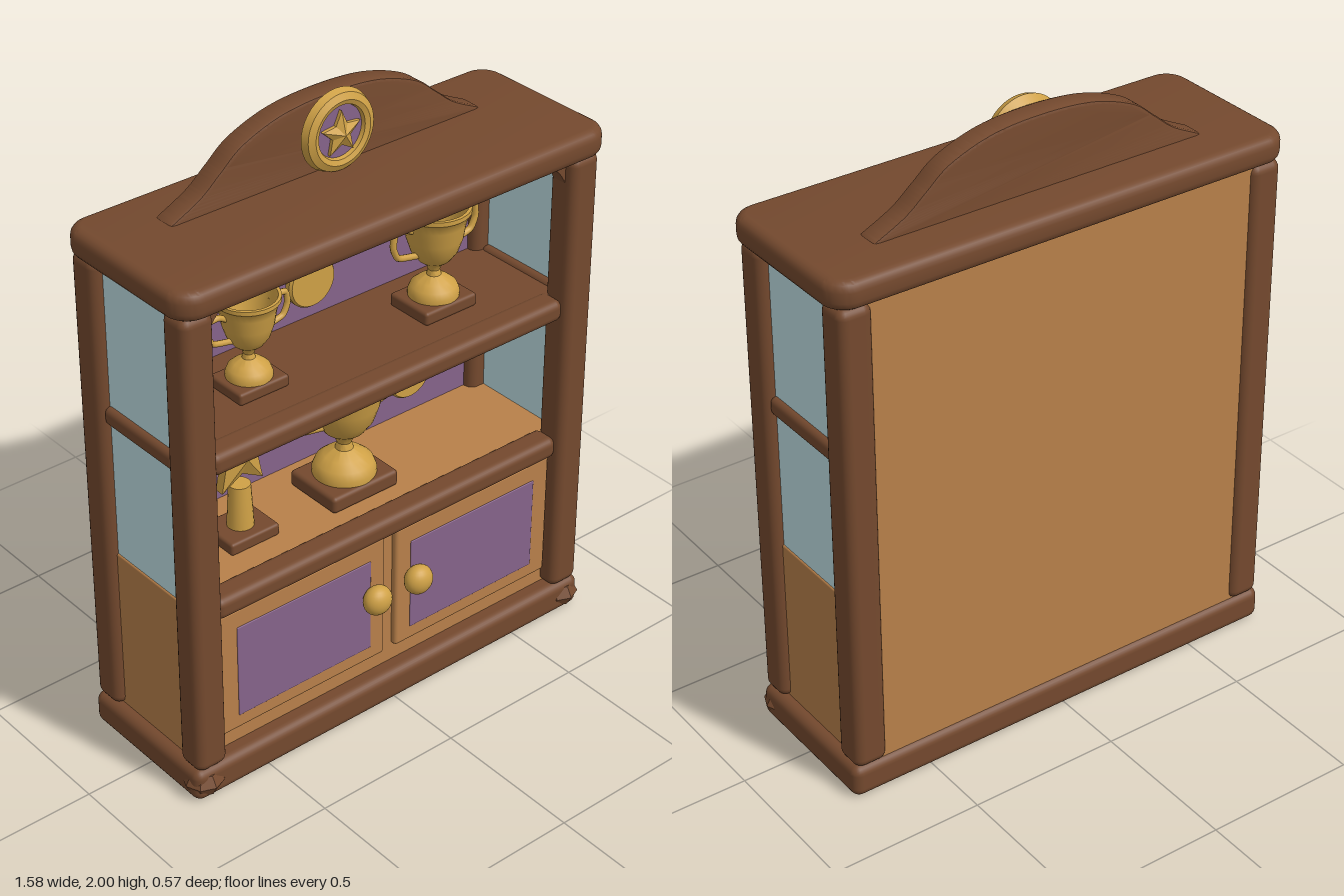
import * as THREE from 'three';
import { RoundedBoxGeometry } from 'three/addons/geometries/RoundedBoxGeometry.js';
import { toCreasedNormals } from 'three/addons/utils/BufferGeometryUtils.js';

const material = (color, side = THREE.FrontSide) => new THREE.MeshStandardMaterial({ color, side });
const darkWood = material(0x74492e);
const lightWood = material(0xb8804a);
const purple = material(0x86638a);
const glass = material(0xbfe0e4);
const gold = material(0xcfa146, THREE.DoubleSide);

function add(parent, name, geometry, mat, x = 0, y = 0, z = 0) {
  const mesh = new THREE.Mesh(geometry, mat);
  mesh.name = name;
  mesh.position.set(x, y, z);
  parent.add(mesh);
  return mesh;
}

// Rounded box given by its extents on each axis
function block(parent, name, mat, [x0, x1], [y0, y1], [z0, z1], radius = 0.01) {
  const geometry = new RoundedBoxGeometry(x1 - x0, y1 - y0, z1 - z0, 3, radius);
  return add(parent, name, geometry, mat, (x0 + x1) / 2, (y0 + y1) / 2, (z0 + z1) / 2);
}

const lathe = (points, segments = 32) => toCreasedNormals(
  new THREE.LatheGeometry(points.map(([r, y]) => new THREE.Vector2(r, y)), segments), 0.6);

// Faceted five-pointed star, ridged on both faces
function starGeometry(radius, depth) {
  const rim = (i) => {
    const r = i % 2 ? radius * 0.48 : radius;
    const a = Math.PI / 2 + i * Math.PI / 5;
    return [r * Math.cos(a), r * Math.sin(a)];
  };
  const edge = depth * 0.35;
  const pos = [];
  for (let i = 0; i < 10; i++) {
    const [ax, ay] = rim(i), [bx, by] = rim(i + 1);
    pos.push(0, 0, depth, ax, ay, edge, bx, by, edge);
    pos.push(0, 0, -depth, bx, by, -edge, ax, ay, -edge);
    pos.push(ax, ay, edge, ax, ay, -edge, bx, by, -edge);
    pos.push(ax, ay, edge, bx, by, -edge, bx, by, edge);
  }
  const geometry = new THREE.BufferGeometry();
  geometry.setAttribute('position', new THREE.Float32BufferAttribute(pos, 3));
  geometry.computeVertexNormals();
  return geometry;
}

// Two-handled cup on a square plinth
function makeTrophy(x, y, z, scale) {
  const group = new THREE.Group();
  group.name = 'trophyCup';
  block(group, 'trophyPlinth', darkWood, [-0.09, 0.09], [0, 0.04], [-0.075, 0.075], 0.01);
  add(group, 'cup', lathe([
    [0, 0.038], [0.07, 0.038], [0.07, 0.052], [0.063, 0.07], [0.045, 0.085], [0.02, 0.1], [0.016, 0.115],
    [0.022, 0.13], [0.045, 0.148], [0.064, 0.175], [0.077, 0.215], [0.084, 0.26], [0.091, 0.285],
    [0.098, 0.292], [0.098, 0.305], [0.088, 0.305], [0.074, 0.25], [0.058, 0.19], [0, 0.15],
  ]), gold);
  for (const s of [-1, 1]) {
    const path = new THREE.CatmullRomCurve3([
      [0.08, 0.255], [0.105, 0.268], [0.138, 0.264], [0.143, 0.225], [0.125, 0.19], [0.06, 0.175],
    ].map(([px, py]) => new THREE.Vector3(s * px, py, 0)), false, 'catmullrom', 0.3);
    add(group, 'trophyHandle', new THREE.TubeGeometry(path, 24, 0.0095, 8), gold);
  }
  group.position.set(x, y, z);
  group.scale.setScalar(scale);
  return group;
}

// Medal hanging on two crossed ribbons that meet at the given apex offset
function makeMedal(x, y, z, apexX, apexY) {
  const group = new THREE.Group();
  group.name = 'medal';
  for (const s of [-1, 1]) {
    const bx = s * 0.055 + 0.01, by = 0.05;
    const tx = apexX - s * 0.005, ty = apexY - 0.015;
    const ribbon = add(group, 'ribbon', new RoundedBoxGeometry(0.05, Math.hypot(tx - bx, ty - by), 0.016, 2, 0.005),
      purple, (bx + tx) / 2, (by + ty) / 2, s * 0.008 - 0.012);
    ribbon.rotation.z = -Math.atan2(tx - bx, ty - by);
  }
  const disc = add(group, 'medalDisc', lathe([[0, -0.016], [0.08, -0.016], [0.086, -0.008], [0.086, 0.008],
    [0.08, 0.016], [0, 0.016]]), gold, 0, 0, 0.012);
  disc.rotation.x = Math.PI / 2;
  group.position.set(x, y, z);
  return group;
}

function roundedRect(w, d, r) {
  const s = new THREE.Shape(), q = Math.PI / 2;
  s.absarc(w / 2 - r, d / 2 - r, r, 0, q);
  s.absarc(r - w / 2, d / 2 - r, r, q, 2 * q);
  s.absarc(r - w / 2, r - d / 2, r, 2 * q, 3 * q);
  s.absarc(w / 2 - r, r - d / 2, r, 3 * q, 4 * q);
  return s;
}

export function createModel() {
  const model = new THREE.Group();
  model.name = 'trophyCabinet';

  // Base and top slab
  block(model, 'base', darkWood, [-0.78, 0.78], [0, 0.11], [-0.275, 0.25], 0.03);
  const slab = new THREE.ExtrudeGeometry(roundedRect(1.52, 0.5, 0.05), {
    depth: 0.03, bevelThickness: 0.03, bevelSize: 0.03, bevelSegments: 4, curveSegments: 8,
  });
  const top = add(model, 'topSlab', toCreasedNormals(slab, 0.7), darkWood, 0, 1.69, -0.006);
  top.rotation.x = -Math.PI / 2;

  // Posts, foot knuckles, corner brackets and side panels
  for (const s of [-1, 1]) {
    const span = (a, b) => (s > 0 ? [a, b] : [-b, -a]);
    block(model, 'frontPost', darkWood, span(0.66, 0.77), [0.105, 1.665], [0.145, 0.25], 0.03);
    block(model, 'backPost', darkWood, span(0.66, 0.77), [0.105, 1.665], [-0.275, -0.165], 0.03);
    const knuckle = add(model, 'footKnuckle', toCreasedNormals(new THREE.SphereGeometry(0.065, 8, 4), 0.3),
      darkWood, s * 0.727, 0.052, 0.207);
    knuckle.scale.set(1, 0.75, 1);

    const bracket = new THREE.Shape();
    bracket.moveTo(s * 0.67, 1.67);
    bracket.lineTo(s * 0.67, 1.55);
    bracket.quadraticCurveTo(s * 0.645, 1.645, s * 0.55, 1.67);
    add(model, 'cornerBracket', new THREE.ExtrudeGeometry(bracket, { depth: 0.05, bevelEnabled: false }),
      darkWood, 0, 0, 0.165);

    block(model, 'sideGlass', glass, span(0.715, 0.735), [0.66, 1.67], [-0.2, 0.18], 0.004);
    block(model, 'sideRail', darkWood, span(0.69, 0.755), [1.13, 1.19], [-0.175, 0.155], 0.02);
  }

  // Back panel with purple lining
  block(model, 'backPanel', lightWood, [-0.7, 0.7], [0.1, 1.67], [-0.258, -0.215], 0.005);
  block(model, 'backLining', purple, [-0.7, 0.7], [0.66, 1.67], [-0.22, -0.2], 0.004);

  // Shelves
  block(model, 'upperShelf', darkWood, [-0.715, 0.715], [1.125, 1.178], [-0.205, 0.17], 0.005);
  for (const [name, y] of [['upperShelfRail', 1.11], ['lowerShelfRail', 0.61]]) {
    block(model, name, darkWood, [-0.668, 0.668], [y, y + 0.072], [0.14, 0.23], 0.025);
  }

  // Lower cupboard with two doors
  block(model, 'cupboard', lightWood, [-0.74, 0.74], [0.1, 0.672], [-0.22, 0.19], 0.006);
  for (const s of [-1, 1]) {
    const span = (a, b) => (s > 0 ? [a, b] : [-b, -a]);
    block(model, 'door', lightWood, span(0.022, 0.655), [0.17, 0.612], [0.17, 0.21], 0.012);
    block(model, 'doorPanel', purple, span(0.08, 0.59), [0.22, 0.545], [0.19, 0.213], 0.003);
    add(model, 'knobStem', new THREE.CylinderGeometry(0.02, 0.02, 0.04, 16).rotateX(Math.PI / 2), gold,
      s * 0.082, 0.422, 0.22);
    const knob = add(model, 'doorKnob', new THREE.SphereGeometry(0.049, 24, 16), gold, s * 0.082, 0.422, 0.246);
    knob.scale.z = 0.8;
  }

  // Curved crest on top
  const crest = new THREE.Shape();
  crest.moveTo(-0.56, 1.745);
  crest.splineThru([[-0.46, 1.795], [-0.39, 1.85], [-0.31, 1.91], [-0.17, 1.957], [0, 1.97], [0.17, 1.957],
    [0.31, 1.91], [0.39, 1.85], [0.46, 1.795], [0.56, 1.745]].map(([x, y]) => new THREE.Vector2(x, y)));
  crest.closePath();
  add(model, 'crest', toCreasedNormals(new THREE.ExtrudeGeometry(crest, {
    depth: 0.056, bevelThickness: 0.01, bevelSize: 0.01, bevelSegments: 2, curveSegments: 40,
  }), 0.6), darkWood, 0, 0, -0.13);

  // Crest medallion
  const medallion = new THREE.Group();
  medallion.name = 'medallion';
  medallion.position.set(0, 1.872, 0);
  model.add(medallion);
  add(medallion, 'medallionRing', lathe([[0, -0.065], [0.105, -0.065], [0.128, -0.045], [0.12, -0.022],
    [0.1, -0.012], [0.085, -0.018], [0.08, -0.035]], 40), gold).rotation.x = Math.PI / 2;
  add(medallion, 'medallionFace', new THREE.CylinderGeometry(0.086, 0.086, 0.025, 32), purple, 0, 0, -0.043)
    .rotation.x = Math.PI / 2;
  add(medallion, 'medallionStar', starGeometry(0.072, 0.03), gold, 0, -0.005, -0.03);

  // Cups and medals
  model.add(makeTrophy(-0.355, 1.176, -0.01, 1));
  model.add(makeTrophy(0.35, 1.176, -0.01, 1.13));
  model.add(makeTrophy(0, 0.672, -0.01, 1.42));
  model.add(makeMedal(0, 1.325, -0.18, -0.005, 0.255));
  model.add(makeMedal(0.39, 0.845, -0.18, 0.035, 0.255));

  // Star award
  const award = new THREE.Group();
  award.name = 'starAward';
  award.position.set(-0.4, 0.67, -0.01);
  model.add(award);
  block(award, 'awardPlinth', darkWood, [-0.09, 0.09], [0, 0.042], [-0.075, 0.075], 0.01);
  add(award, 'awardColumn', new THREE.CylinderGeometry(0.034, 0.042, 0.15, 20), gold, 0, 0.112, 0);
  add(award, 'awardStar', starGeometry(0.128, 0.045), gold, 0, 0.29, 0);

  return model;
}
